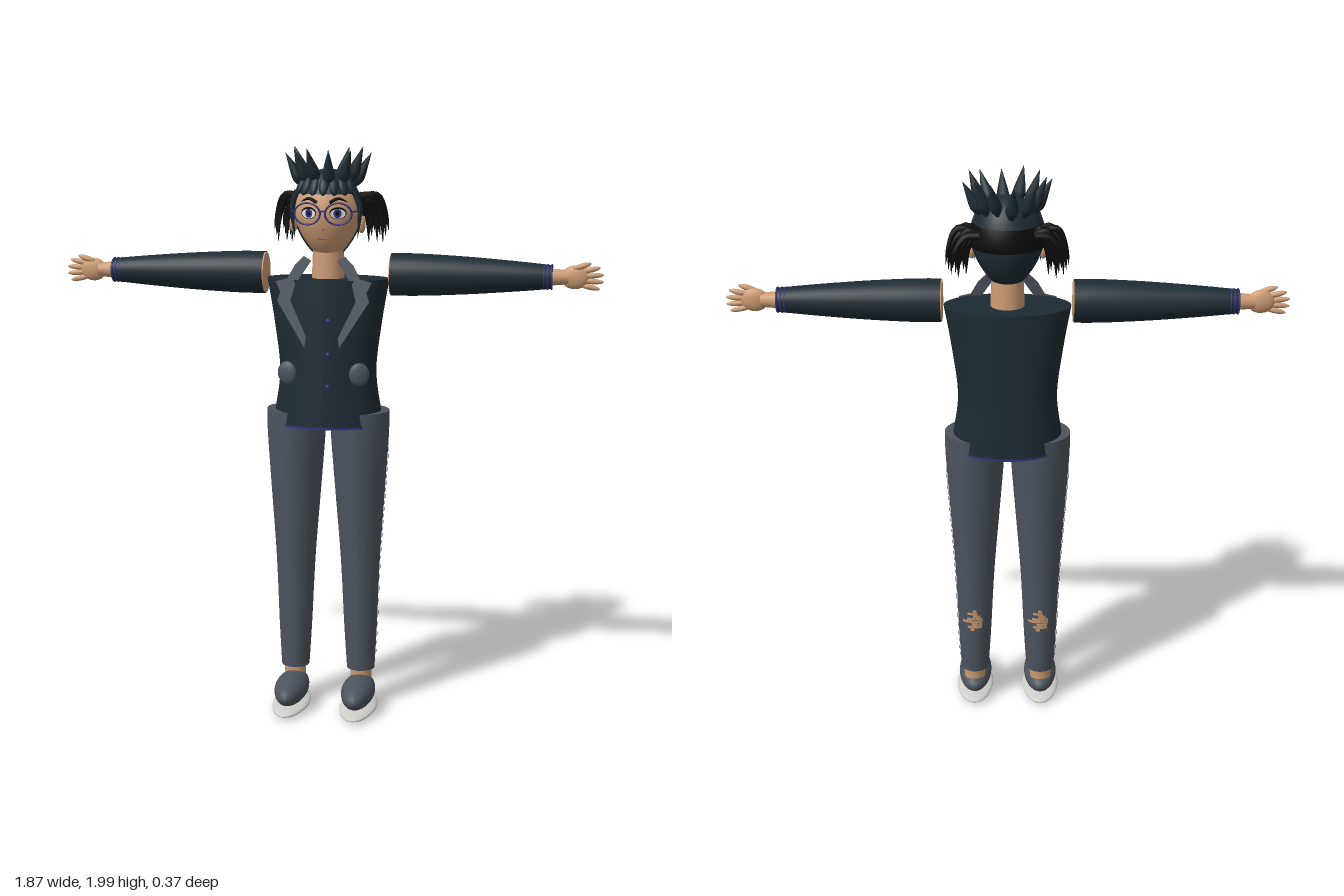
import * as THREE from 'three';

const mat = (name, color) => Object.assign(new THREE.MeshStandardMaterial({ color, side: THREE.DoubleSide }), { name });
const M = {
  dark: mat('dark slate', 0x1e2b33), grey: mat('slate grey', 0x4c545f), skin: mat('skin', 0xcd9c74),
  trim: mat('indigo trim', 0x33347c), sole: mat('pale sole', 0xcfcfca), black: mat('black', 0x0b0b0d),
  white: mat('eye white', 0xe4e4ea), lip: mat('lip', 0x8f5548),
};
const Z = -0.04; // depth of the body axis
const HEAD = { y: 1.765, z: -0.035, rx: 0.115, ry: 0.147, rz: 0.104 };

export function createModel() {
  const root = new THREE.Group();
  root.name = 'figure';

  const add = (name, geo, material, x = 0, y = 0, z = 0) => {
    const m = new THREE.Mesh(geo, material);
    m.name = name;
    m.position.set(x, y, z);
    root.add(m);
    return m;
  };
  const v3 = (x, y, z) => new THREE.Vector3(x, y, z);
  // smooth profile of [radius, height] pairs, rising
  const smooth = (pts, n = 24) => new THREE.SplineCurve(pts.map(p => new THREE.Vector2(...p))).getPoints(n);
  const ball = (rx, ry, rz, ...a) => new THREE.SphereGeometry(1, ...(a.length ? a : [28, 18])).scale(rx, ry, rz);
  const warp = (geo, rule) => {
    const p = geo.attributes.position, v = new THREE.Vector3();
    for (let i = 0; i < p.count; i++) {
      v.fromBufferAttribute(p, i);
      rule(v);
      p.setXYZ(i, v.x, v.y, v.z);
    }
    geo.computeVertexNormals();
    return geo;
  };
  // tube narrowing to a point at its end
  const strand = (name, pts, r, material) => {
    const curve = new THREE.CatmullRomCurve3(pts.map(p => v3(...p)));
    const n = 14, sides = 7, geo = new THREE.TubeGeometry(curve, n, r, sides, false);
    const p = geo.attributes.position, v = new THREE.Vector3();
    for (let i = 0; i < p.count; i++) {
      const t = Math.floor(i / (sides + 1)) / n, c = curve.getPointAt(t);
      v.fromBufferAttribute(p, i).sub(c).multiplyScalar(1 - 0.95 * t * t).add(c);
      p.setXYZ(i, v.x, v.y, v.z);
    }
    return add(name, geo, material);
  };

  // ---- jacket body: oval lathe with its own depth rule ----
  const torso = smooth([[0.19, 1.04], [0.186, 1.09], [0.169, 1.23], [0.188, 1.4], [0.213, 1.55]], 28);
  const depth = y => 0.142 - 0.025 * Math.max(0, (y - 1.04) / 0.51);
  const oval = pts => {
    const geo = new THREE.LatheGeometry(pts, 40);
    const p = geo.attributes.position;
    for (let i = 0; i < p.count; i++) {
      const r = Math.hypot(p.getX(i), p.getZ(i));
      if (r > 0.1) p.setZ(i, p.getZ(i) / r * (depth(p.getY(i)) + r - radiusAt(p.getY(i))));
    }
    geo.computeVertexNormals();
    return geo;
  };
  const radiusAt = y => torso.reduce((a, b) => Math.abs(b.y - y) < Math.abs(a.y - y) ? b : a).x;
  add('jacketBody', oval(torso), M.dark, 0, 0, Z);
  add('jacketTop', new THREE.CircleGeometry(1, 40).rotateX(-Math.PI / 2).scale(0.213, 1, 0.117), M.dark, 0, 1.55, Z);
  add('jacketUnderside', new THREE.CircleGeometry(1, 40).rotateX(Math.PI / 2).scale(0.19, 1, 0.142), M.dark, 0, 1.042, Z);
  add('hemTrim', new THREE.CylinderGeometry(1, 1, 0.008, 40, 1, true).scale(0.192, 1, 0.144), M.trim, 0, 1.044, Z);
  for (const y of [1.415, 1.3, 1.19]) add('button', ball(0.008, 0.008, 0.005, 12, 8), M.trim, 0.02, y, Z + depth(y) + 0.002);
  add('neck', new THREE.CylinderGeometry(0.052, 0.058, 0.14, 24), M.skin, 0, 1.6, Z);

  // ---- head ----
  const taper = v => {
    const t = Math.max(0, -v.y / HEAD.ry);
    v.x *= 1 - 0.27 * t;
    v.z *= 1 - 0.12 * t;
  };
  const place = (name, geo, m) => add(name, warp(geo, taper), m, 0, HEAD.y, HEAD.z);
  place('head', ball(HEAD.rx, HEAD.ry, HEAD.rz, 36, 26), M.skin);
  place('hairCap', ball(0.121, 0.157, 0.112, 36, 14, 0, Math.PI * 2, 0, 1.08), M.dark);
  place('hairBack', ball(0.121, 0.155, 0.112, 28, 18, Math.PI - 0.2, Math.PI + 0.4, 0.9, 1.65), M.dark);
  place('hairBand', ball(0.125, 0.157, 0.117, 28, 8, Math.PI - 0.1, Math.PI + 0.2, 1.12, 0.5), M.black);

  // crown of leaf-shaped spikes
  const spike = smooth([[0.004, 0], [0.019, 0.03], [0.021, 0.05], [0.012, 0.09], [0.0005, 0.135]], 10);
  for (let i = 0; i < 12; i++) {
    const a = (i + 0.3) / 12 * Math.PI * 2, lean = 0.42 + 0.12 * (i % 2);
    const m = add('hairSpike', new THREE.LatheGeometry(spike, 8), M.dark,
      Math.sin(a) * 0.082, 1.855 + 0.008 * (i % 3), -0.042 + Math.cos(a) * 0.07);
    m.quaternion.setFromUnitVectors(v3(0, 1, 0), v3(Math.sin(a) * lean, 1, Math.cos(a) * lean).normalize());
  }
  // short leaves lying along the hairline
  for (let i = 0; i < 7; i++) {
    const a = (i - 3) * 0.33;
    const m = add('fringeLeaf', ball(0.016, 0.034, 0.01, 10, 8), M.dark, Math.sin(a) * 0.103, 1.865, HEAD.z + Math.cos(a) * 0.092);
    m.rotation.set(-0.45, a, 0, 'YXZ');
  }

  // flat oval lying on the face
  const onFace = (name, x, y, rx, ry, lift, material) => {
    const dx = x / HEAD.rx, dy = (y - HEAD.y) / HEAD.ry;
    const k = Math.sqrt(1 - dx * dx - dy * dy);
    const m = add(name, new THREE.CircleGeometry(1, 24).scale(rx, ry, 1), material, x, y, HEAD.z + HEAD.rz * k + lift);
    m.rotation.y = Math.atan(HEAD.rz / HEAD.rx * dx / k);
  };
  onFace('nose', 0, 1.722, 0.006, 0.003, 0.003, M.lip);
  strand('mouth', [[-0.02, 1.692, 0.055], [0, 1.689, 0.058], [0.02, 1.692, 0.055]], 0.003, M.lip);
  strand('glassesBridge', [[-0.012, 1.78, 0.08], [0, 1.784, 0.082], [0.012, 1.78, 0.08]], 0.004, M.trim);

  for (const s of [1, -1]) {
    // ---- face details ----
    onFace('eyeOutline', s * 0.05, 1.777, 0.03, 0.02, 0.004, M.black);
    onFace('eyeWhite', s * 0.05, 1.775, 0.027, 0.016, 0.006, M.white);
    onFace('iris', s * 0.049, 1.776, 0.014, 0.015, 0.008, M.trim);
    onFace('pupil', s * 0.049, 1.776, 0.006, 0.007, 0.01, M.black);
    strand('eyebrow', [[s * 0.022, 1.812, 0.068], [s * 0.05, 1.825, 0.06], [s * 0.082, 1.812, 0.04]], 0.006, M.black);
    const rim = add('glassesRim', new THREE.TorusGeometry(1, 0.08, 6, 36).scale(0.045, 0.036, 0.03), M.trim, s * 0.053, 1.775, 0.077);
    rim.rotation.y = s * 0.12;
    strand('glassesArm', [[s * 0.097, 1.782, 0.07], [s * 0.114, 1.782, 0.03], [s * 0.119, 1.77, -0.03]], 0.003, M.trim);
    add('ear', ball(0.014, 0.03, 0.02, 14, 10), M.skin, s * 0.118, 1.735, -0.022);

    // ---- loose hair: side lock and drooping tuft ----
    strand('sideLock', [[s * 0.098, 1.85, 0.02], [s * 0.116, 1.79, 0.016], [s * 0.108, 1.69, 0.005]], 0.01, M.dark);
    for (let i = 0; i < 9; i++) {
      const k = i / 8, z = -0.075 - 0.011 * (i % 6), out = 0.135 + 0.065 * k;
      strand('hairTuft', [[s * 0.09, 1.815, z], [s * (out - 0.04), 1.83 - 0.02 * (i % 2), z],
        [s * (out - 0.008), 1.765, z - 0.008], [s * out, 1.67 + 0.02 * (i % 3), z - 0.008]], 0.013, M.black);
    }

    // ---- lapel: bent plate leaning forward down the chest ----
    const lapel = new THREE.Shape([[0.045, 1.615], [0.07, 1.63], [0.1, 1.6], [0.125, 1.555], [0.165, 1.545], [0.148, 1.51], [0.158, 1.48],
      [0.06, 1.325], [0.055, 1.36], [0.112, 1.48], [0.098, 1.535]].map(([x, y]) => new THREE.Vector2(s * x, y)));
    add('lapel', warp(new THREE.ExtrudeGeometry(lapel, { depth: 0.008, bevelEnabled: false }),
      v => { v.z += 0.042 + (1.62 - v.y) * 0.17; }), M.grey);
    add('pocket', ball(0.035, 0.04, 0.014, 24, 12), M.grey, s * 0.125, 1.232, 0.072).rotation.y = s * 0.25;

    // ---- arm ----
    const along = (name, geo, m, x) => add(name, geo.rotateZ(-s * Math.PI / 2), m, s * x, 1.565, Z);
    along('sleeve', new THREE.LatheGeometry(smooth([[0.073, 0], [0.072, 0.1], [0.064, 0.26], [0.051, 0.43], [0.04, 0.545]]), 28), M.dark, 0.22);
    along('shoulder', new THREE.CylinderGeometry(0.069, 0.069, 0.012, 28), M.skin, 0.223);
    along('sleeveEnd', new THREE.CylinderGeometry(0.039, 0.039, 0.004, 24), M.dark, 0.761);
    for (const x of [0.738, 0.751, 0.764]) along('cuffRing', new THREE.TorusGeometry(0.0405, 0.0035, 6, 28).rotateX(Math.PI / 2), M.trim, x);
    along('wrist', new THREE.CylinderGeometry(0.024, 0.029, 0.06, 18), M.skin, 0.79);
    add('palm', ball(0.047, 0.04, 0.019), M.skin, s * 0.841, 1.565, Z);
    for (let i = 0; i < 4; i++) {
      const o = i - 1.5, len = 0.085 - 0.008 * Math.abs(o);
      const f = add('finger', ball(len / 2, 0.0095, 0.0095, 12, 8), M.skin, s * (0.9 - 0.007 * Math.abs(o)), 1.562 + o * 0.019, Z);
      f.rotation.z = s * o * 0.14;
    }
    add('thumb', ball(0.034, 0.01, 0.01, 12, 8), M.skin, s * 0.862, 1.603, Z + 0.008).rotation.z = s * 0.3;

    // ---- leg: round lathe leaning slightly outward ----
    const legPts = smooth([[0.05, 0.14], [0.059, 0.3], [0.07, 0.55], [0.088, 0.8], [0.102, 1.0], [0.104, 1.09]], 28);
    const lean = v => { v.x += s * (0.121 - 0.008 * v.y); };
    const leg = (name, pts, m, ...a) => add(name, warp(new THREE.LatheGeometry(pts, ...a), lean), m, 0, 0, Z);
    leg('trouserLeg', legPts, M.grey, 32);
    add('trouserTop', new THREE.CircleGeometry(0.104, 32).rotateX(-Math.PI / 2), M.grey, s * 0.1123, 1.089, Z);
    leg('sideStripe', legPts.filter(p => p.y > 0.18 && p.y < 0.98).map(p => new THREE.Vector2(p.x + 0.003, p.y)),
      M.trim, 2, s * (Math.PI / 2 + 0.2) - 0.06, 0.12);
    // torn patch on the back of the leg, in ragged rows
    [0.12, 0.4, 0.3, 0.58, 0.45, 0.2, 0.28, 0.1].forEach((w, i) => {
      const shift = (i % 3 - 1) * 0.12;
      add('tornPatch', new THREE.CylinderGeometry(0.066, 0.065, 0.011, 8, 1, true, Math.PI - w + shift, w * 2), M.skin, s * 0.118, 0.328 + i * 0.011, Z);
    });

    // ---- foot ----
    add('ankle', new THREE.CylinderGeometry(0.04, 0.037, 0.1, 20), M.skin, s * 0.121, 0.12, Z);
    const narrow = v => { v.x *= 1 - 0.8 * Math.max(0, v.z) ; };
    add('shoe', warp(ball(0.06, 0.05, 0.138), narrow), M.grey, s * 0.121, 0.074, 0.037);
    add('sole', warp(ball(0.067, 0.017, 0.148), narrow), M.sole, s * 0.122, 0.018, 0.039);
  }
  return root;
}
